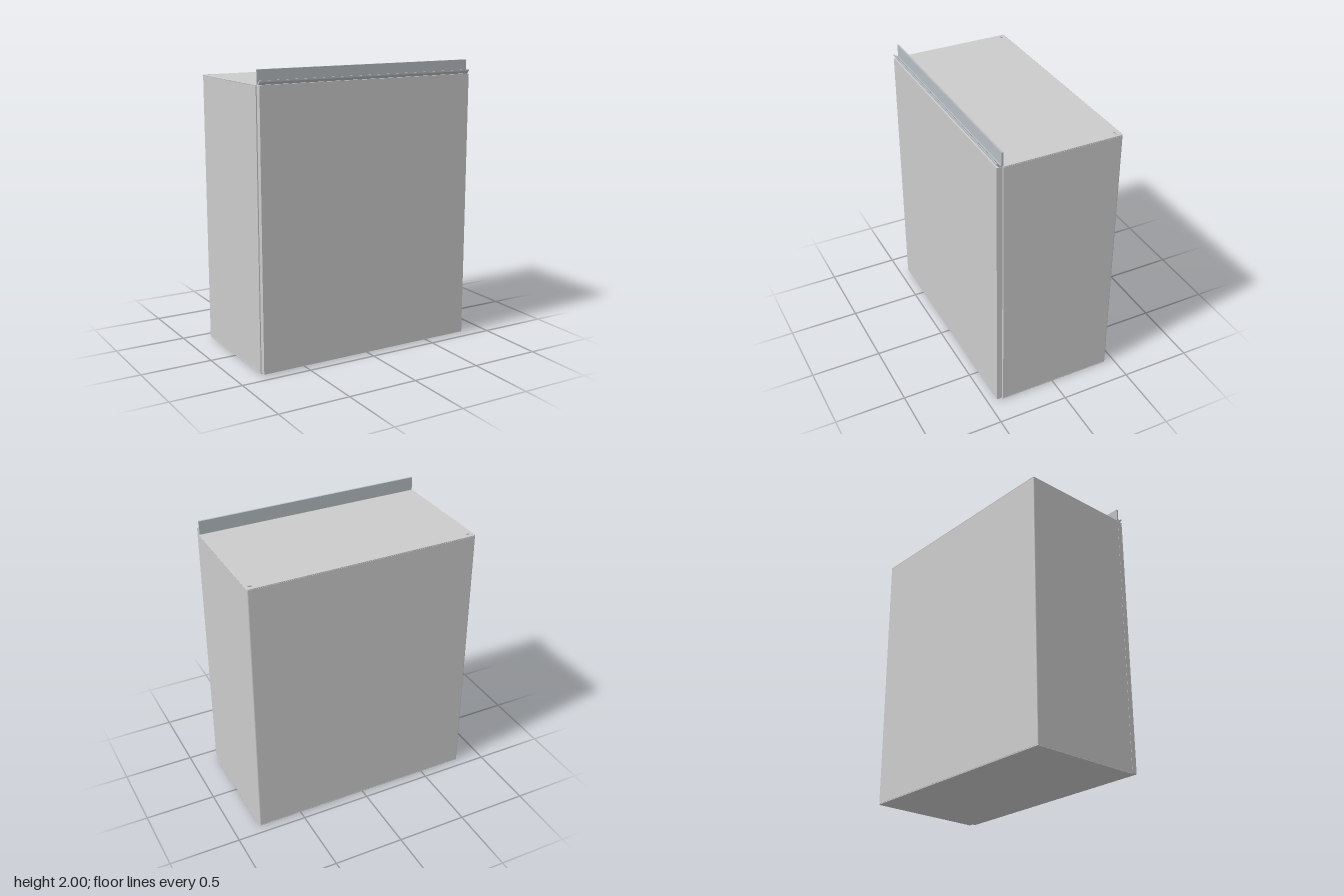
import * as THREE from 'three';

const grey = new THREE.MeshStandardMaterial({ color: 0xcccccc });
const stripMat = new THREE.MeshStandardMaterial({ color: 0xb6bdc1 });

const W = 1.63, H = 1.905, T = 0.008;  // body width, height, sheet thickness
const BACK = -0.435, FRONT = 0.39, MID = (BACK + FRONT) / 2, D = FRONT - BACK;

// Rectangle with its own radius for the lower and upper corners
function roundRect(w, h, rLow, rHigh, cx = 0, cy = 0, C = THREE.Shape) {
  const p = new C(), x0 = cx - w / 2, x1 = cx + w / 2, y0 = cy - h / 2, y1 = cy + h / 2;
  p.moveTo(x0 + rLow, y0).lineTo(x1 - rLow, y0);
  p.quadraticCurveTo(x1, y0, x1, y0 + rLow).lineTo(x1, y1 - rHigh);
  p.quadraticCurveTo(x1, y1, x1 - rHigh, y1).lineTo(x0 + rHigh, y1);
  p.quadraticCurveTo(x0, y1, x0, y1 - rHigh).lineTo(x0, y0 + rLow);
  p.quadraticCurveTo(x0, y0, x0 + rLow, y0);
  return p;
}

function extrude(shape, depth) {
  return new THREE.ExtrudeGeometry(shape, { depth, bevelEnabled: false, curveSegments: 6 });
}

function addPart(group, name, geometry, material = grey) {
  const mesh = new THREE.Mesh(geometry, material);
  mesh.name = name;
  group.add(mesh);
  return mesh;
}

// Folded sheet around the sides and back, open at the front
function wrapGeometry() {
  const x = W / 2, r = 0.01, s = new THREE.Shape();
  // shape y is -z
  s.moveTo(-x, -FRONT).lineTo(-x + T, -FRONT).lineTo(-x + T, -BACK - T);
  s.lineTo(x - T, -BACK - T).lineTo(x - T, -FRONT).lineTo(x, -FRONT);
  s.lineTo(x, -BACK - r).quadraticCurveTo(x, -BACK, x - r, -BACK);
  s.lineTo(-x + r, -BACK).quadraticCurveTo(-x, -BACK, -x, -BACK - r);
  s.lineTo(-x, -FRONT);
  return extrude(s, H - 2 * T).rotateX(-Math.PI / 2).translate(0, T, 0);
}

// Top or bottom sheet with softened edges, optionally with mounting slots
function lidGeometry(slots) {
  const b = 0.003;
  const s = roundRect(W - 2 * b, D - 2 * b, 0.001, 0.008, 0, -MID);
  if (slots) {
    for (const side of [-1, 1]) {
      s.holes.push(roundRect(0.03 + 2 * b, 0.013 + 2 * b, 0.008, 0.008, side * 0.78, 0.4, THREE.Path));
    }
  }
  return new THREE.ExtrudeGeometry(s, {
    depth: T - 2 * b, bevelThickness: b, bevelSize: b, bevelSegments: 2, curveSegments: 6,
  }).rotateX(-Math.PI / 2).translate(0, b, 0);
}

export function createModel() {
  const model = new THREE.Group();
  model.name = 'wallCabinet';

  // Body
  const body = new THREE.Group();
  body.name = 'body';
  model.add(body);
  addPart(body, 'sidesAndBack', wrapGeometry());
  addPart(body, 'bottomPanel', lidGeometry(false));
  addPart(body, 'topPanel', lidGeometry(true)).position.y = H - T;

  // Inward flange around the door opening
  const flange = roundRect(W - 2 * T, H - 2 * T, 0, 0, 0, H / 2);
  flange.holes.push(roundRect(W - 0.1, H - 0.1, 0.01, 0.01, 0, H / 2, THREE.Path));
  addPart(body, 'frontFlange', extrude(flange, T).translate(0, 0, FRONT - T));

  // Door: flat skin with folded edges
  const door = new THREE.Group();
  door.name = 'door';
  model.add(door);
  const doorW = 1.622, doorH = 1.895, doorY = 0.01 + doorH / 2;
  addPart(door, 'doorSkin', extrude(roundRect(doorW, doorH, 0.003, 0.003, 0, doorY), T)
    .translate(0, 0, 0.435 - T));
  const rim = roundRect(doorW, doorH, 0.003, 0.003, 0, doorY);
  rim.holes.push(roundRect(doorW - 2 * T, doorH - 2 * T, 0, 0, 0, doorY, THREE.Path));
  addPart(door, 'doorRim', extrude(rim, 0.435 - T - 0.396).translate(0, 0, 0.396));

  // Rain strip: upright flange, gutter and raised front lip, as (z, y) section
  const section = new THREE.Shape([
    [0.39, 1.905], [0.418, 1.905], [0.436, 1.923], [0.436, 1.933], [0.428, 1.933],
    [0.412, 1.915], [0.402, 1.915], [0.402, 2], [0.39, 2],
  ].map(([z, y]) => new THREE.Vector2(-z, y)).reverse());
  addPart(model, 'rainStrip', extrude(section, W - 0.008)
    .rotateY(Math.PI / 2).translate(-(W - 0.008) / 2, 0, 0), stripMat);

  return model;
}
